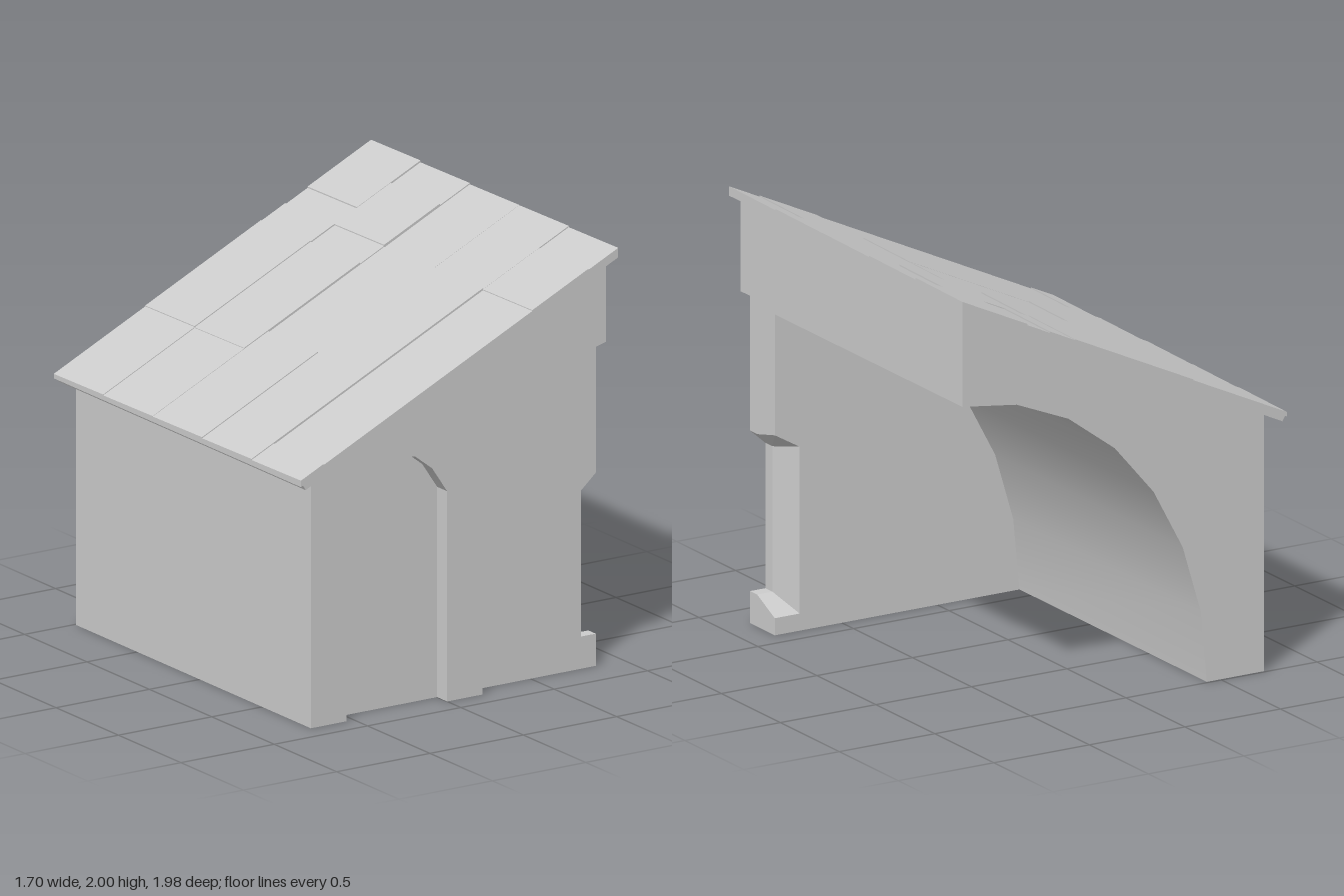
import * as THREE from 'three';
import { toCreasedNormals } from 'three/addons/utils/BufferGeometryUtils.js';

const LEFT = -0.73, CUT = 0.85, BACK = -0.99;
const SLOPE = 0.8 / 1.7;
const roofY = x => 1.2 + (x + 0.85) * SLOPE;   // top surface of the roof
const wallTop = x => roofY(x) - 0.045;         // walls end just inside the roof

export function createModel() {
  const group = new THREE.Group();
  const material = new THREE.MeshStandardMaterial({ color: 0xcccccc });

  const add = (name, geometry, crease = 0.5) => {
    const mesh = new THREE.Mesh(toCreasedNormals(geometry, crease), material);
    mesh.name = name;
    group.add(mesh);
  };
  const extrude = (points, z0, z1, steps = 1) => {
    const shape = new THREE.Shape(points.map(p => new THREE.Vector2(p[0], p[1])));
    return new THREE.ExtrudeGeometry(shape, { depth: z1 - z0, steps, bevelEnabled: false })
      .translate(0, 0, z0);
  };
  const top = [[CUT, wallTop(CUT)], [LEFT, wallTop(LEFT)]];

  // Half barrel vault: solid outside, elliptical hollow inside
  const arc = [];
  for (let i = 0; i <= 7; i++) {
    const a = (i / 7) * Math.PI / 2;
    arc.push([CUT - 1.28 * Math.cos(a), 1.5 * Math.sin(a)]);
  }
  add('vault', extrude([[LEFT, 0], ...arc, ...top], BACK, 0.6));

  // End wall with half a window at the cut, splayed towards the inside
  const notch = [[CUT, 0.15], [0.77, 0.15], [0.77, 0.83], [CUT, 0.9]];
  const inner = [[CUT, 0.08], [0.72, 0.08], [0.72, 0.86], [CUT, 0.935]];
  const wall = extrude([[LEFT, 0], [CUT, 0], ...notch, ...top], 0.6, 0.81, 2);
  const pos = wall.attributes.position;
  for (let i = 0; i < pos.count; i++) {
    const x = pos.getX(i), y = pos.getY(i), z = pos.getZ(i);
    if (z < 0.65) {
      const k = notch.findIndex(n => Math.abs(n[0] - x) < 1e-4 && Math.abs(n[1] - y) < 1e-4);
      if (k >= 0) pos.setXY(i, inner[k][0], inner[k][1]);
    } else if (z < 0.78) pos.setZ(i, 0.75);
  }
  add('endWall', wall, 0.2);

  // Raised front layer: pilasters joined by one and a half blind arches
  const smallArch = [[-0.54, 0], [-0.54, 0.99], [-0.45, 1.12], [-0.37, 1.17], [-0.26, 1.19],
    [-0.17, 1.17], [-0.08, 1.1], [0, 0.98], [0, 0]];
  const largeArch = [[0.19, 0], [0.19, 0.9], [0.24, 1.11], [0.32, 1.23], [0.43, 1.36],
    [0.56, 1.46], [0.7, 1.49], [CUT, 1.53]];
  add('frontArcade', extrude([[LEFT, 0], ...smallArch, ...largeArch, ...top], 0.81, 0.89));

  // Thin roof deck under the boards
  const deckTop = x => roofY(x) - 0.016;
  add('roofDeck', extrude([[-0.825, roofY(-0.825) - 0.06], [CUT, roofY(CUT) - 0.05],
    [CUT, deckTop(CUT)], [-0.845, deckTop(-0.845)]], BACK, 0.99));

  // Boards run down the slope; front edge is higher, so each laps the next.
  // Each course lists the joints along x and the drop of each board.
  const courses = [
    { joints: [-0.85, -0.36, 0.26, 0.39, 0.51, 0.85], drops: [0.004, 0, 0.004, 0.01, 0.004] },
    { joints: [-0.85, -0.36, 0.26, 0.39, 0.69, 0.85], drops: [0.003, 0, 0.006, 0.001, 0.008] },
    { joints: [-0.85, -0.23, 0.39, 0.85], drops: [0, 0.006, 0.009] },
    { joints: [-0.85, 0.39, 0.85], drops: [0, 0.005] },
    { joints: [-0.85, -0.73, 0.39, 0.69, 0.85], drops: [0, 0.005, 0.001, 0.006] },
  ];
  const depth = 1.98 / courses.length;
  courses.forEach(({ joints, drops }, row) => {
    const z0 = BACK + row * depth;
    drops.forEach((drop, j) => {
      const x0 = joints[j], x1 = joints[j + 1];
      const board = new THREE.BoxGeometry(x1 - x0, 1, depth)
        .translate((x0 + x1) / 2, 0, z0 + depth / 2);
      const p = board.attributes.position;
      for (let i = 0; i < p.count; i++) {
        const x = p.getX(i), isTop = p.getY(i) > 0;
        const lap = p.getZ(i) < z0 + depth / 2 ? 0.005 : 0;
        p.setY(i, roofY(x) - (isTop ? drop + lap : 0.03));
      }
      add('roofBoard', board);
    });
  });

  return group;
}
